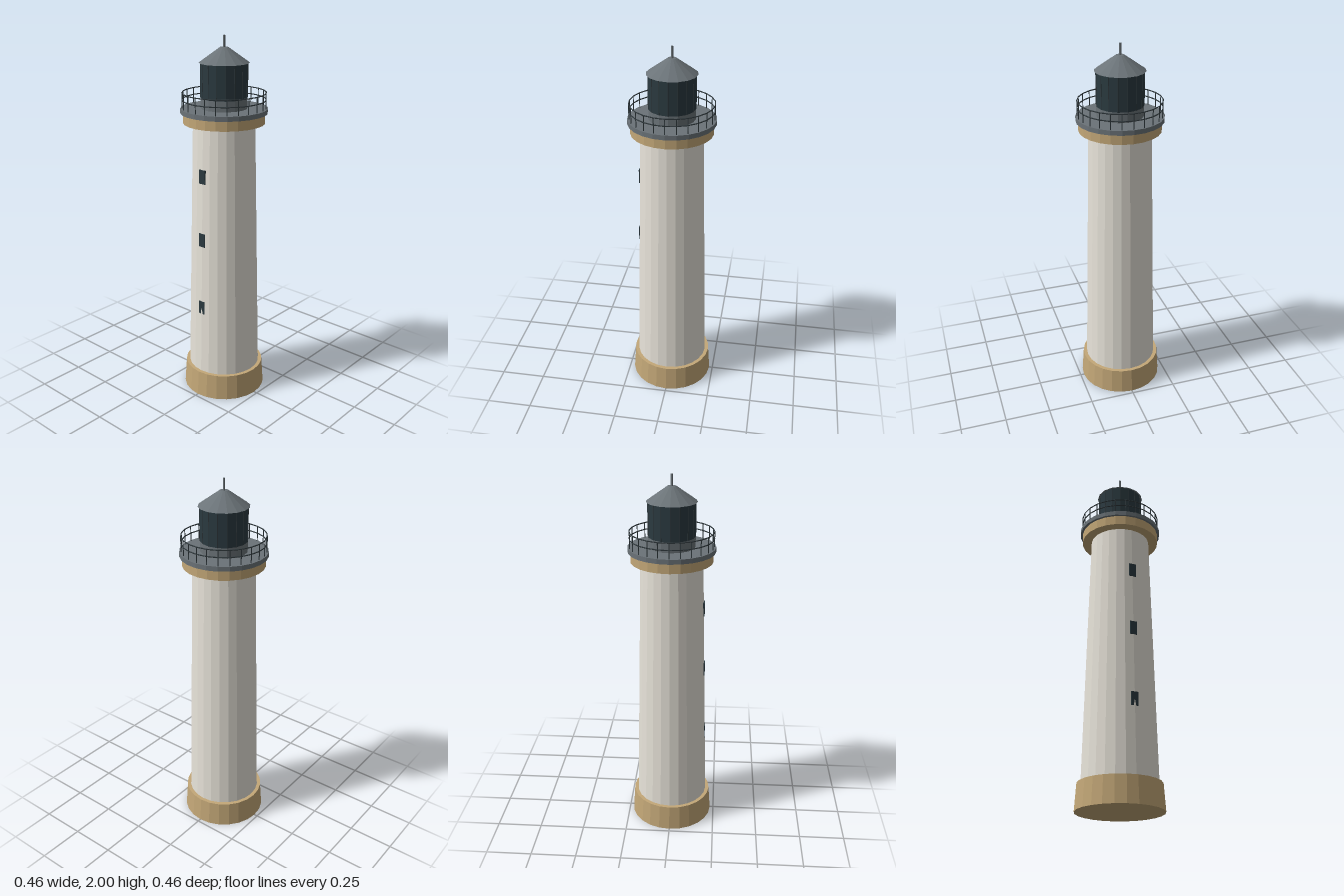
import * as THREE from 'three';

const mat = (color) => new THREE.MeshStandardMaterial({ color, flatShading: true });

export function createModel() {
  const group = new THREE.Group();
  group.name = 'lighthouse';
  const cream = mat(0xe8e4da), tan = mat(0xc4a878), grey = mat(0x6b7378);
  const glass = mat(0x2b3a40), iron = mat(0x2f383c);

  const add = (name, geometry, material, x = 0, y = 0, z = 0, parent = group) => {
    const mesh = new THREE.Mesh(geometry, material);
    mesh.name = name;
    mesh.position.set(x, y, z);
    parent.add(mesh);
    return mesh;
  };
  // Upright tapered drum between two heights
  const drum = (name, y0, y1, r0, r1, sides, material) =>
    add(name, new THREE.CylinderGeometry(r1, r0, y1 - y0, sides), material, 0, (y0 + y1) / 2, 0);

  // Tower body
  drum('base', 0, 0.143, 0.23, 0.22, 24, tan);
  drum('tower', 0.143, 1.55, 0.2, 0.165, 24, cream);
  drum('collar', 1.55, 1.603, 0.217, 0.217, 24, tan);
  drum('galleryDeck', 1.603, 1.628, 0.23, 0.23, 24, grey);

  // Lantern room and roof
  drum('lanternPlinth', 1.628, 1.683, 0.123, 0.123, 16, grey);
  drum('lanternGlass', 1.683, 1.862, 0.123, 0.123, 16, glass);
  drum('roof', 1.862, 1.94, 0.132, 0.022, 16, grey);
  drum('spike', 1.94, 2, 0.006, 0.006, 8, grey);

  // Slim bars on the corners of the lantern glass
  const bars = new THREE.Group();
  bars.name = 'lanternBars';
  group.add(bars);
  const barGeometry = new THREE.CylinderGeometry(0.002, 0.002, 0.179, 6);
  for (let i = 0; i < 16; i++) {
    const a = (i / 16) * Math.PI * 2;
    add('lanternBar', barGeometry, iron, 0.123 * Math.sin(a), 1.7725, 0.123 * Math.cos(a), bars);
  }

  // Gallery railing: posts and two rails
  const railing = new THREE.Group();
  railing.name = 'railing';
  group.add(railing);
  const postGeometry = new THREE.CylinderGeometry(0.0025, 0.0025, 0.084, 6);
  for (let i = 0; i < 24; i++) {
    const a = (i / 24) * Math.PI * 2;
    add('railPost', postGeometry, iron, 0.22 * Math.sin(a), 1.668, 0.22 * Math.cos(a), railing);
  }
  const railGeometry = new THREE.TorusGeometry(0.22, 0.003, 6, 24).rotateX(Math.PI / 2);
  for (const y of [1.672, 1.709]) add('rail', railGeometry, iron, 0, y, 0, railing);

  // Windows up the front: centre height and front face depth
  const windowGeometry = new THREE.BoxGeometry(0.04, 0.075, 0.02);
  for (const [y, z] of [[0.537, 0.1902], [0.935, 0.183], [1.288, 0.1765]]) {
    add('window', windowGeometry, glass, 0, y, z - 0.01);
  }
  return group;
}
